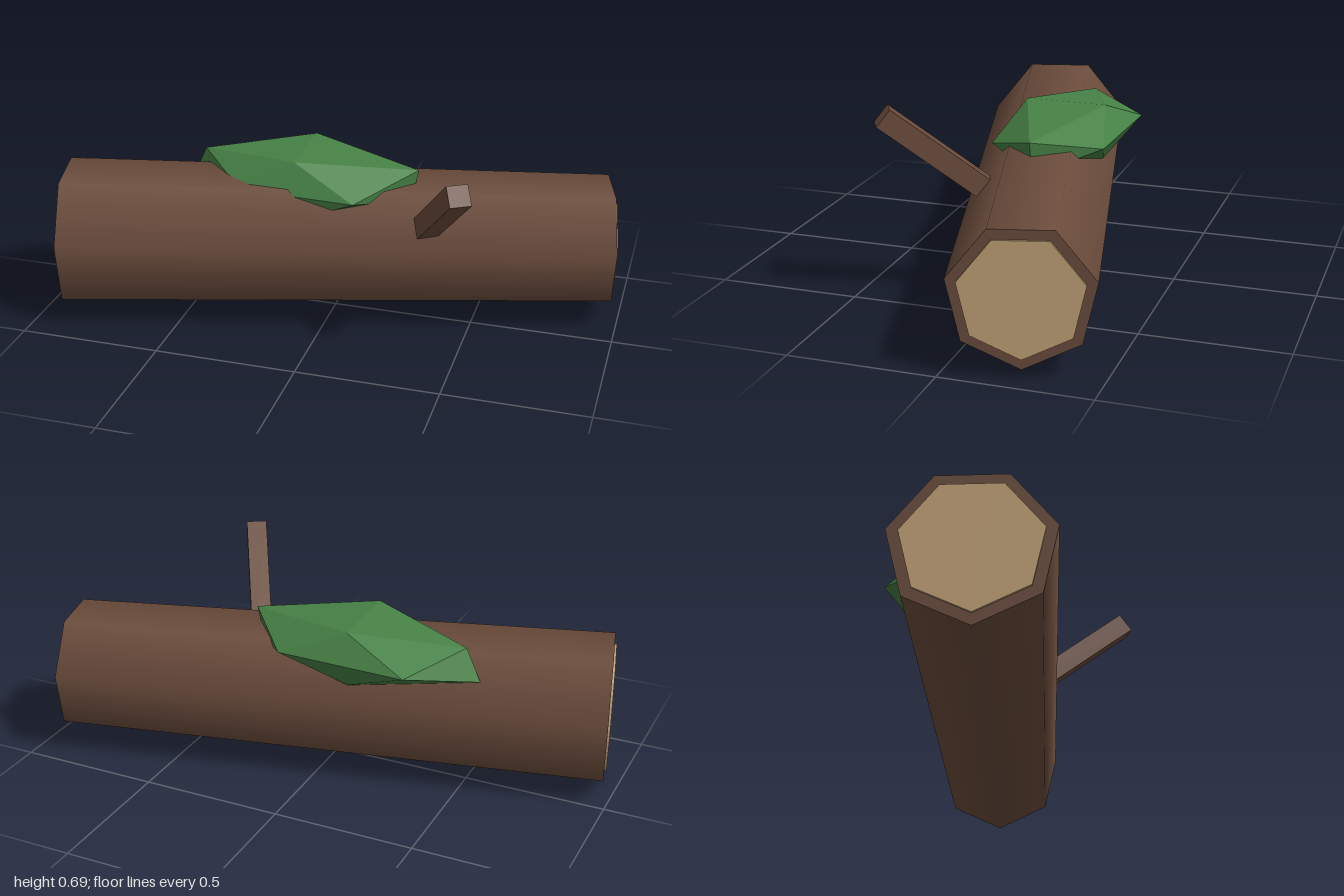
import * as THREE from 'three';
import { ConvexGeometry } from 'three/addons/geometries/ConvexGeometry.js';

const SIDES = 7;

// Tapered seven-sided cylinder lying along x, with one corner pointing down
function lyingCylinder(radiusRight, radiusLeft, length) {
  return new THREE.CylinderGeometry(radiusRight, radiusLeft, length, SIDES)
    .rotateY(Math.PI / 2)
    .rotateZ(-Math.PI / 2);
}

export function createModel() {
  const bark = new THREE.MeshStandardMaterial({ color: 0x6b4c3c });
  bark.name = 'bark';
  const wood = new THREE.MeshStandardMaterial({ color: 0xc4a478 });
  wood.name = 'cutWood';
  const green = new THREE.MeshStandardMaterial({ color: 0x478246 });
  green.name = 'mossGreen';

  const model = new THREE.Group();
  model.name = 'fallenLog';

  const add = (parent, name, geometry, material) => {
    const mesh = new THREE.Mesh(geometry, material);
    mesh.name = name;
    parent.add(mesh);
    return mesh;
  };

  // Trunk with a pale cut face at each end
  const length = 1.93;
  const radius = { left: 0.235, right: 0.267 };
  const trunk = new THREE.Group();
  trunk.name = 'trunk';
  trunk.position.set(0, 0.267, -0.018);
  trunk.rotation.y = 0.245;
  model.add(trunk);
  add(trunk, 'log', lyingCylinder(radius.left, radius.right, length), bark);
  for (const [side, dir] of [['left', 1], ['right', -1]]) {
    const r = radius[side] * 0.85;
    const face = add(trunk, side + 'CutFace', lyingCylinder(r, r, 0.016), wood);
    face.position.x = dir * length / 2;
  }

  // Square branch stub leaning out of the front, its origin at the tip
  const branchLength = 0.56;
  const branch = add(model, 'branch',
    new THREE.BoxGeometry(0.073, branchLength, 0.073).translate(0, -branchLength / 2, 0), bark);
  branch.position.set(0.513, 0.657, 0.37);
  branch.rotation.set(0.9, Math.PI / 6, 0, 'YXZ');

  // Faceted moss clump draped over the top
  const mossPoints = [
    [-0.125, 0.58, 0.085], [-0.13, 0.577, -0.205],   // ridge
    [-0.505, 0.535, -0.06], [0.285, 0.54, -0.06],    // upper tips
    [0.1, 0.47, 0.14], [-0.31, 0.48, 0.14],          // front corners
    [0.1, 0.485, -0.265], [-0.365, 0.485, -0.28],    // back corners
    [-0.56, 0.42, -0.065], [0.26, 0.42, -0.06],      // lower tips
    [-0.11, 0.38, 0.12], [-0.13, 0.38, -0.2],        // underside
  ].map((p) => new THREE.Vector3(...p));
  add(model, 'moss', new ConvexGeometry(mossPoints), green);

  return model;
}
